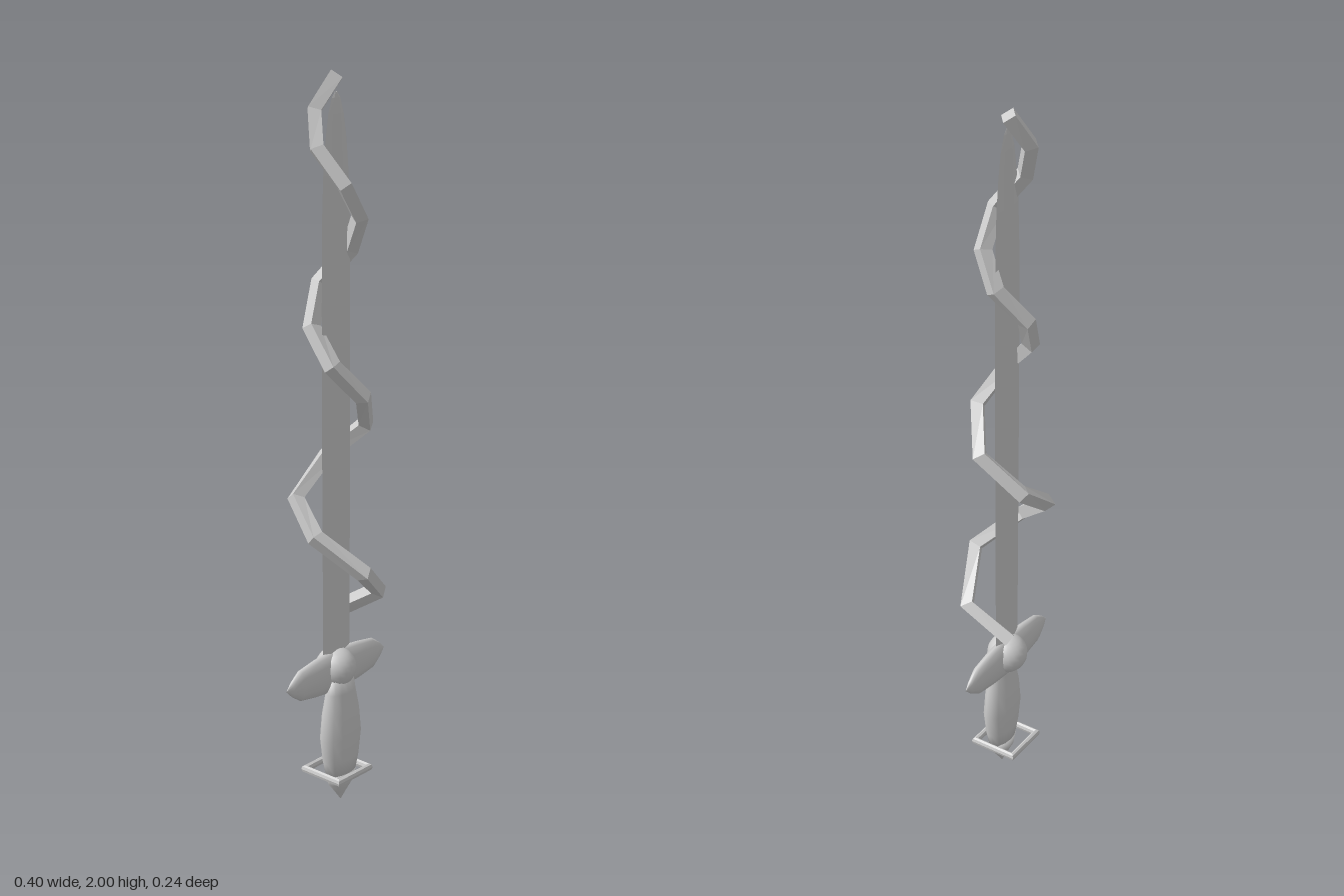
import * as THREE from 'three';

const smooth = new THREE.MeshStandardMaterial({ color: 0xcccccc });
const flat = new THREE.MeshStandardMaterial({ color: 0xcccccc, flatShading: true });

function addMesh(group, name, geometry, material, x = 0, y = 0, z = 0) {
  const mesh = new THREE.Mesh(geometry, material);
  mesh.name = name;
  mesh.position.set(x, y, z);
  group.add(mesh);
  return mesh;
}

// Turned profile of [radius, height] pairs, flattened in depth
function flattenedLathe(profile, segments, depth) {
  const points = profile.map(([r, h]) => new THREE.Vector2(r, h));
  return new THREE.LatheGeometry(points, segments).scale(1, 1, depth);
}

// Thin six-sided blade: each row is [height, half width, half thickness]
function bladeGeometry() {
  const rows = [
    [0.34, 0.053, 0.010], [0.6, 0.054, 0.008], [1.0, 0.055, 0.007], [1.4, 0.055, 0.006],
    [1.62, 0.053, 0.006], [1.74, 0.048, 0.005], [1.83, 0.039, 0.004],
    [1.89, 0.029, 0.004], [1.93, 0.016, 0.003], [1.945, 0.004, 0.001],
  ];
  const n = rows.length - 1;
  const geometry = new THREE.CylinderGeometry(1, 1, 1, 6, n, false, Math.PI / 6);
  const p = geometry.attributes.position;
  for (let i = 0; i < p.count; i++) {
    const [y, w, t] = rows[Math.round((p.getY(i) + 0.5) * n)];
    p.setXYZ(i, p.getX(i) * w, y, p.getZ(i) * t);
  }
  geometry.computeVertexNormals();
  return geometry;
}

// Square tube bent at every point of a narrowing spiral, closed at both ends
function vineGeometry() {
  const path = [
    [0.09, 0.52, -0.085], [0.11, 0.60, 0.04], [-0.02, 0.70, 0.10], [-0.10, 0.80, 0.00],
    [-0.07, 0.88, -0.095], [0.05, 0.97, -0.095], [0.09, 1.07, 0.01], [0.01, 1.17, 0.07],
    [-0.065, 1.26, 0.03], [-0.055, 1.35, -0.05], [0.01, 1.45, -0.08], [0.06, 1.54, -0.02],
    [0.04, 1.63, 0.03], [-0.025, 1.72, 0.035], [-0.055, 1.81, -0.03],
    [-0.03, 1.90, -0.06], [0.02, 1.985, -0.03],
  ];
  const curve = new THREE.CatmullRomCurve3(path.map((p) => new THREE.Vector3(...p)));
  // Sample exactly at the bends
  curve.getPointAt = curve.getPoint;
  curve.getTangentAt = curve.getTangent;
  const n = path.length - 1;
  const geometry = new THREE.TubeGeometry(curve, n, 0.024, 4);
  const e = n * 5;
  geometry.setIndex([
    ...geometry.index.array,
    0, 1, 2, 0, 2, 3,
    e, e + 2, e + 1, e, e + 3, e + 2,
  ]);
  return geometry;
}

export function createModel() {
  const sword = new THREE.Group();
  sword.name = 'sword';
  const z = -0.015;

  addMesh(sword, 'blade', bladeGeometry(), flat, 0, 0, z);

  const vineMaterial = flat.clone();
  vineMaterial.side = THREE.DoubleSide;
  addMesh(sword, 'spiralVine', vineGeometry(), vineMaterial);

  // Crossguard, pointed at both ends
  const guard = flattenedLathe([
    [0, -0.2], [0.022, -0.178], [0.045, -0.145], [0.056, -0.08], [0.064, 0],
    [0.056, 0.08], [0.045, 0.145], [0.022, 0.178], [0, 0.2],
  ], 12, 0.4);
  guard.rotateZ(Math.PI / 2);
  addMesh(sword, 'crossguard', guard, smooth, 0, 0.388, z);
  addMesh(sword, 'guardBall', new THREE.SphereGeometry(0.056, 20, 14), smooth, 0, 0.395, z - 0.002);

  // Swelling grip
  addMesh(sword, 'grip', flattenedLathe([
    [0, 0.085], [0.053, 0.085], [0.064, 0.13], [0.073, 0.2], [0.066, 0.27],
    [0.053, 0.33], [0.046, 0.37], [0, 0.38],
  ], 14, 0.54), smooth);

  // Square ring below the grip
  const ring = new THREE.TorusGeometry(0.088, 0.011, 8, 4);
  ring.rotateZ(Math.PI / 4).rotateX(Math.PI / 2);
  addMesh(sword, 'squareRing', ring, flat, 0, 0.09, -0.013);

  // Pointed pommel
  addMesh(sword, 'pommel', flattenedLathe([
    [0, 0], [0.022, 0.03], [0.044, 0.058], [0.052, 0.088], [0, 0.09],
  ], 14, 0.62), smooth);

  return sword;
}
